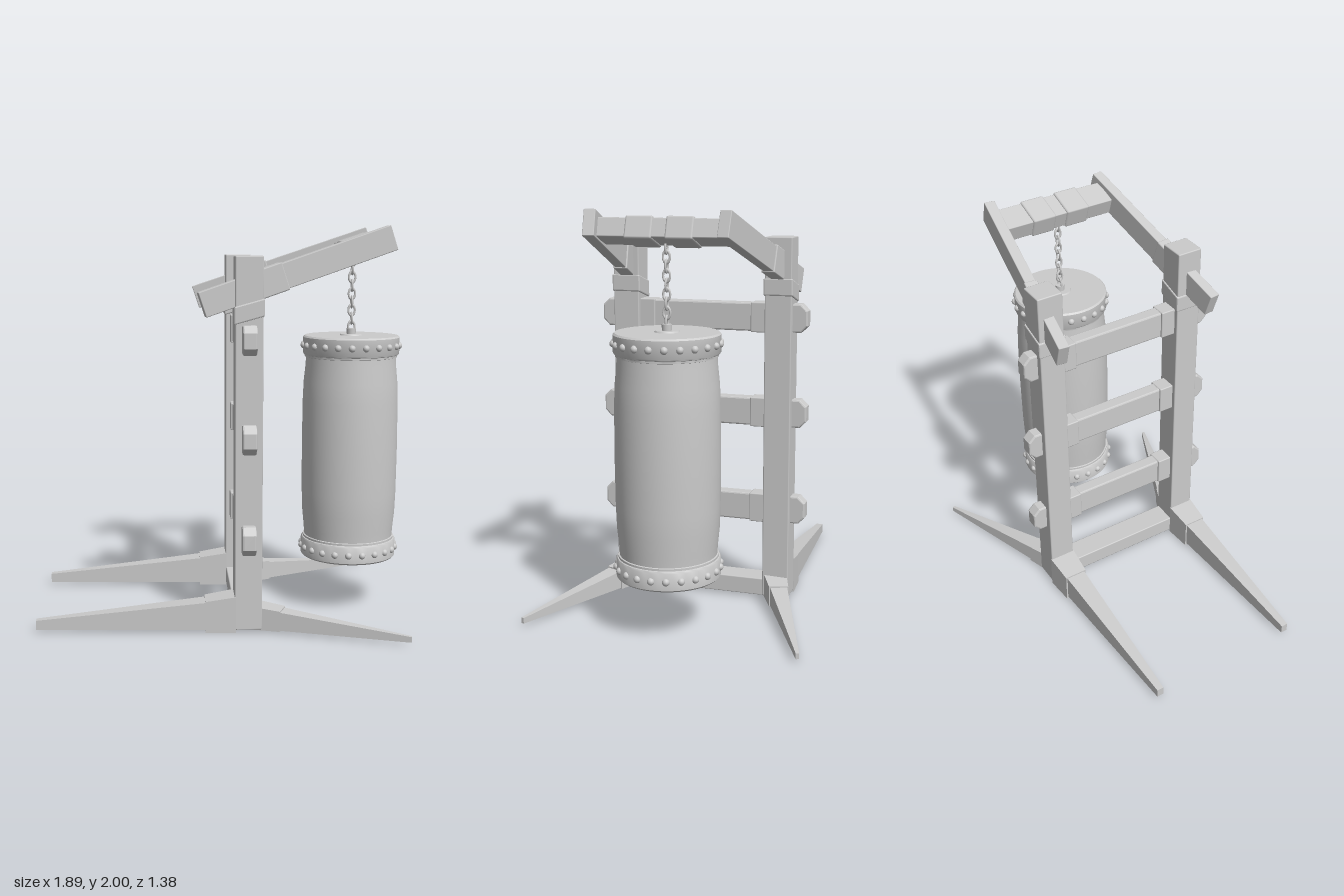
import * as THREE from 'three';
import { toCreasedNormals } from 'three/addons/utils/BufferGeometryUtils.js';
import { RoundedBoxGeometry } from 'three/addons/geometries/RoundedBoxGeometry.js';

const mat = new THREE.MeshStandardMaterial({ color: 0xcccccc });
const POST_X = 0.108, POST_Z = 0.398, DRUM_X = 0.676, PITCH = 0.326;

function add(parent, name, geometry, x = 0, y = 0, z = 0) {
  const mesh = new THREE.Mesh(geometry, mat);
  mesh.name = name;
  mesh.position.set(x, y, z);
  parent.add(mesh);
  return mesh;
}

const block = (w, h, d, r = 0.006) => new RoundedBoxGeometry(w, h, d, 1, r);

// Tapered beam on the ground; each end is { x, z, w, y0, y1 }
function taperedBeam(a, b) {
  const geo = new THREE.BoxGeometry(1, 1, 1), p = geo.attributes.position;
  const len = Math.hypot(b.x - a.x, b.z - a.z);
  const dx = (b.x - a.x) / len, dz = (b.z - a.z) / len;
  for (let i = 0; i < p.count; i++) {
    const e = p.getX(i) < 0 ? a : b, side = p.getZ(i) * e.w;
    p.setXYZ(i, e.x - dz * side, p.getY(i) < 0 ? e.y0 : e.y1, e.z + dx * side);
  }
  const flat = geo.toNonIndexed();
  flat.computeVertexNormals();
  return flat;
}

// Rung with chamfered tips, running along z
function rungGeometry() {
  const L = 0.54, H = 0.071, c = 0.034;
  const pts = [[-L, -H + c], [-L + c, -H], [L - c, -H], [L, -H + c],
    [L, H - c], [L - c, H], [-L + c, H], [-L, H - c]];
  const shape = new THREE.Shape(pts.map(([x, y]) => new THREE.Vector2(x, y)));
  const geo = new THREE.ExtrudeGeometry(shape, {
    depth: 0.054, bevelThickness: 0.008, bevelSize: 0.008, bevelOffset: -0.008, bevelSegments: 2,
  });
  return geo.translate(0, 0, -0.027).rotateY(Math.PI / 2);
}

function lathe(profile, segments = 48) {
  const pts = profile.map(([r, y]) => new THREE.Vector2(r, y));
  return toCreasedNormals(new THREE.LatheGeometry(pts, segments), 0.6);
}

// Post with its collar, feet and tilted arm; s is +1 or -1 in z
function buildSide(s) {
  const side = new THREE.Group();
  side.name = s > 0 ? 'frontSide' : 'backSide';
  const z = s * POST_Z;
  add(side, 'post', block(0.136, 1.84, 0.136), POST_X, 0.933, z);

  // Collar sheared to follow the slope of the arm
  const collar = block(0.146, 0.085, 0.148);
  const p = collar.attributes.position;
  for (let i = 0; i < p.count; i++) p.setY(i, p.getY(i) + 0.28 * p.getX(i));
  collar.computeVertexNormals();
  add(side, 'postCollar', collar, POST_X, 1.59, z);

  // Long rear foot and its sleeve
  add(side, 'rearFoot', taperedBeam(
    { x: 0.06, z, w: 0.12, y0: 0.012, y1: 0.168 },
    { x: -0.945, z, w: 0.036, y0: 0.015, y1: 0.062 }));
  add(side, 'rearFootSleeve', taperedBeam(
    { x: 0.045, z, w: 0.142, y0: 0, y1: 0.183 },
    { x: -0.105, z, w: 0.122, y0: 0, y1: 0.158 }));

  // Splayed front foot and its sleeve
  add(side, 'frontFoot', taperedBeam(
    { x: 0.12, z: s * 0.382, w: 0.105, y0: 0.012, y1: 0.122 },
    { x: 0.88, z: s * 0.682, w: 0.016, y0: 0.014, y1: 0.042 }));
  add(side, 'frontFootSleeve', taperedBeam(
    { x: 0.13, z: s * 0.386, w: 0.118, y0: 0.008, y1: 0.128 },
    { x: 0.28, z: s * 0.445, w: 0.098, y0: 0.008, y1: 0.112 }));

  // Arm rising towards +x and leaning inwards
  const arm = new THREE.Group();
  arm.name = 'arm';
  arm.position.set(0.35, 1.78, s * 0.372);
  arm.rotation.set(0, s * 0.118, PITCH, 'YZX');
  add(arm, 'armBeam', block(0.998, 0.125, 0.056, 0.004));
  add(arm, 'armSleeve', block(0.19, 0.138, 0.07), -0.165, 0, 0);
  side.add(arm);
  return side;
}

export function createModel() {
  const model = new THREE.Group();
  model.name = 'hangingDrumStand';
  for (const s of [1, -1]) model.add(buildSide(s));

  // Rungs through the posts, with sleeves against the inner faces
  for (const y of [1.455, 0.975, 0.475]) {
    add(model, 'rung', rungGeometry(), POST_X, y, 0);
    for (const s of [1, -1])
      add(model, 'rungSleeve', block(0.09, 0.15, 0.085), POST_X, y, s * 0.295);
  }
  add(model, 'bottomBeam', block(0.13, 0.09, 0.68), POST_X, 0.057, 0);

  // Crossbar between the arms with two wrappings
  const crossbar = new THREE.Group();
  crossbar.name = 'crossbar';
  crossbar.position.set(0.708, 1.896, 0);
  crossbar.rotation.z = PITCH;
  add(crossbar, 'crossbarBeam', block(0.144, 0.09, 0.61, 0.005));
  for (const s of [1, -1])
    add(crossbar, 'crossbarWrap', block(0.158, 0.108, 0.132, 0.01), 0, 0, s * 0.097);
  model.add(crossbar);

  // Chain of interlocking links
  const link = new THREE.TorusGeometry(0.017, 0.0055, 8, 16).scale(1, 1.55, 1);
  for (let i = 0; i < 9; i++)
    add(model, 'chainLink', link, DRUM_X, 1.485 + i * 0.0425, 0).rotation.y = (i % 2) * Math.PI / 2;

  // Drum body, bands and studs
  const drum = new THREE.Group();
  drum.name = 'drum';
  drum.position.x = DRUM_X;
  add(drum, 'drumBody', lathe([[0.232, 0.36], [0.235, 0.42], [0.244, 0.51], [0.248, 0.62],
    [0.25, 0.86], [0.248, 1.1], [0.244, 1.2], [0.235, 1.29], [0.232, 1.36]]));
  for (const [y, dir] of [[1.44, 1], [0.27, -1]]) {
    const band = [[0, 0], [0.242, 0], [0.25, -0.008], [0.25, -0.09], [0.245, -0.098],
      [0.24, -0.1], [0.24, -0.11], [0.23, -0.113]].map(([r, h]) => [r, y + dir * h]);
    add(drum, 'drumBand', lathe(dir > 0 ? band.reverse() : band));
    const stud = new THREE.SphereGeometry(0.018, 12, 8);
    for (let i = 0; i < 22; i++) {
      const a = (i + 0.5) / 22 * Math.PI * 2;
      add(drum, 'stud', stud, Math.sin(a) * 0.247, y - dir * 0.05, Math.cos(a) * 0.247);
    }
  }
  add(drum, 'hangerPlate', new THREE.CylinderGeometry(0.055, 0.06, 0.008, 24), 0, 1.443, 0);
  add(drum, 'hangerStub', new THREE.CylinderGeometry(0.024, 0.024, 0.035, 16), 0, 1.458, 0);
  model.add(drum);
  return model;
}
